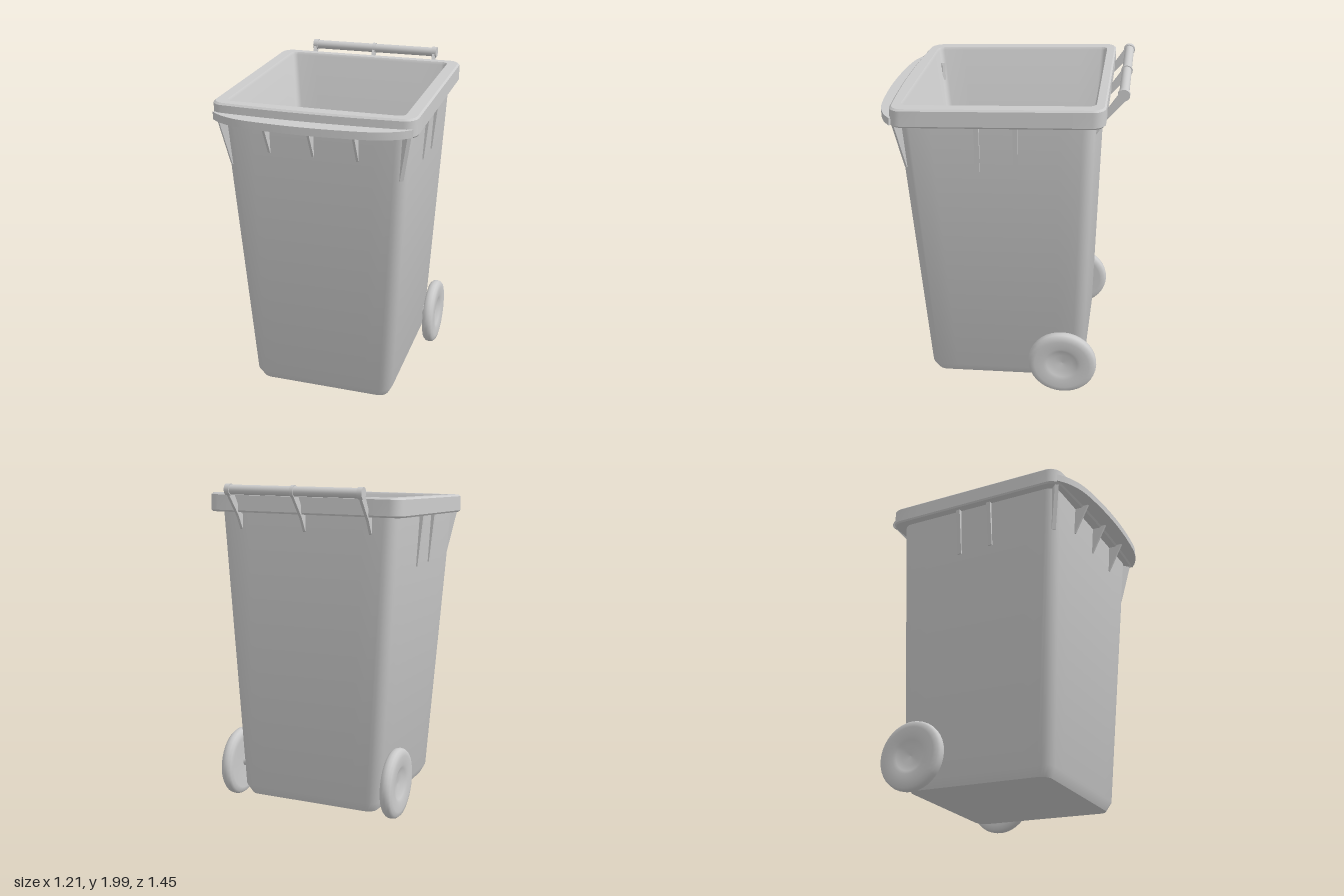
import * as THREE from 'three';
import { toCreasedNormals } from 'three/addons/utils/BufferGeometryUtils.js';

const TILT = 0.048; // rim and base slope down towards the front
const mat = new THREE.MeshStandardMaterial({ color: 0xcccccc });

function add(parent, name, geo, x = 0, y = 0, z = 0) {
  const mesh = new THREE.Mesh(geo, mat);
  mesh.name = name;
  mesh.position.set(x, y, z);
  parent.add(mesh);
  return mesh;
}

// Rounded rectangle in plan; bow curves the front edge outwards
function ring([hx, zb, zf, r, h, bow = 0]) {
  const pts = [], ARC = 6, SIDE = 8;
  const corners = [[hx - r, zf - r], [r - hx, zf - r], [r - hx, zb + r], [hx - r, zb + r]];
  corners.forEach(([cx, cz], k) => {
    for (let i = 0; i <= ARC; i++) {
      const a = (k + i / ARC) * Math.PI / 2;
      pts.push([cx + r * Math.cos(a), cz + r * Math.sin(a)]);
    }
    const last = pts[pts.length - 1], a = (k + 1) * Math.PI / 2;
    const [nx, nz] = corners[(k + 1) % 4];
    const next = [nx + r * Math.cos(a), nz + r * Math.sin(a)];
    for (let i = 1; i < SIDE; i++) {
      const t = i / SIDE;
      pts.push([last[0] + (next[0] - last[0]) * t, last[1] + (next[1] - last[1]) * t]);
    }
  });
  return pts.map(([x, z]) => {
    if (z > 0) z += bow * (1 - (x / hx) ** 2) * Math.min(1, z / zf);
    return [x, h - TILT * z, z];
  });
}

// Skin through a series of rings, closed at both ends
function loft(sections) {
  const rings = sections.map(ring), n = rings[0].length;
  const pos = rings.flat(2), idx = [];
  for (let j = 0; j < rings.length - 1; j++) {
    for (let i = 0; i < n; i++) {
      const a = j * n + i, b = j * n + (i + 1) % n;
      idx.push(a, a + n, b, b, a + n, b + n);
    }
  }
  const c = rings.length * n, top = (rings.length - 1) * n;
  for (const s of [sections[0], sections[sections.length - 1]]) {
    const z = (s[1] + s[2]) / 2;
    pos.push(0, s[4] - TILT * z, z);
  }
  for (let i = 0; i < n; i++) {
    const k = (i + 1) % n;
    idx.push(c, i, k, c + 1, top + k, top + i);
  }
  const geo = new THREE.BufferGeometry();
  geo.setAttribute('position', new THREE.Float32BufferAttribute(pos, 3));
  geo.setIndex(idx);
  return toCreasedNormals(geo, 0.6);
}

// Upright plate from [outward distance, height] points, turned about y
function plate(parent, name, points, thick, angle, x = 0, z = 0) {
  const shape = new THREE.Shape(points.map(p => new THREE.Vector2(...p)));
  const geo = new THREE.ExtrudeGeometry(shape, { depth: thick, bevelEnabled: false });
  geo.translate(0, 0, -thick / 2);
  add(parent, name, geo, x, 0, z).rotation.y = angle;
}

export function createModel() {
  const bin = new THREE.Group();
  bin.name = 'wheeledBin';

  // Outer wall, rim and hollow inside: halfX, zBack, zFront, radius, height, bow
  add(bin, 'body', loft([
    [0.42, -0.5, 0.42, 0.06, 0.03],
    [0.45, -0.53, 0.45, 0.07, 0.09],
    [0.553, -0.55, 0.57, 0.07, 1.8],
    [0.6, -0.6, 0.595, 0.07, 1.8, 0.025],
    [0.607, -0.607, 0.605, 0.07, 1.81, 0.025],
    [0.605, -0.605, 0.602, 0.07, 1.9, 0.025],
    [0.595, -0.595, 0.592, 0.065, 1.91, 0.025],
    [0.53, -0.55, 0.55, 0.04, 1.91],
    [0.52, -0.54, 0.54, 0.03, 1.895],
    [0.42, -0.49, 0.37, 0.05, 0.22],
    [0.41, -0.475, 0.33, 0.06, 0.15],
    [0.38, -0.44, 0.27, 0.05, 0.12],
  ]));

  // Curved grip lip along the front of the rim
  const half = [[0.2, 0.715], [0.4, 0.693], [0.52, 0.65], [0.59, 0.6]];
  const curve = new THREE.SplineCurve([
    ...half.map(([x, z]) => new THREE.Vector2(x, z)).reverse(),
    new THREE.Vector2(0, 0.722),
    ...half.map(([x, z]) => new THREE.Vector2(-x, z)),
  ]);
  const lipShape = new THREE.Shape([
    ...curve.getPoints(32), new THREE.Vector2(-0.55, 0.58), new THREE.Vector2(0.55, 0.58),
  ]);
  const lip = new THREE.ExtrudeGeometry(lipShape, { depth: 0.045, bevelEnabled: false });
  lip.rotateX(Math.PI / 2);
  const p = lip.attributes.position;
  for (let i = 0; i < p.count; i++) p.setY(i, p.getY(i) + 1.855 - TILT * p.getZ(i));
  lip.computeVertexNormals();
  add(bin, 'frontLip', toCreasedNormals(lip, 0.6));

  // Stiffening ribs under the rim
  for (const x of [-0.265, 0, 0.265]) {
    plate(bin, 'frontRib', [[0.54, 1.6], [0.563, 1.6], [0.615, 1.7], [0.66, 1.785], [0.54, 1.79]],
      0.014, -Math.PI / 2, x);
  }
  for (const s of [1, -1]) {
    plate(bin, 'cornerRib', [[0.02, 1.5], [0.05, 1.5], [0.125, 1.785], [0.02, 1.79]],
      0.025, s > 0 ? -Math.PI / 4 : -Math.PI * 0.75, s * 0.48, 0.5);
    for (const z of [0.11, -0.11]) {
      plate(bin, 'sideRib', [[0.52, 1.5], [0.543, 1.5], [0.575, 1.805], [0.53, 1.81]],
        0.028, s > 0 ? 0 : Math.PI, 0, z);
    }
  }

  // Rear handle bar with brackets and collars
  const handle = new THREE.Group();
  handle.name = 'handle';
  bin.add(handle);
  const bar = (r, len) => new THREE.CylinderGeometry(r, r, len, 24).rotateZ(Math.PI / 2);
  add(handle, 'handleBar', bar(0.028, 0.83), 0, 1.966, -0.692);
  for (const x of [-0.408, 0, 0.408]) {
    add(handle, 'handleCollar', bar(0.034, x ? 0.03 : 0.02), x, 1.966, -0.692);
    plate(handle, 'handleBracket',
      [[0.54, 1.72], [0.555, 1.73], [0.6, 1.81], [0.705, 1.935], [0.675, 1.985], [0.6, 1.87], [0.54, 1.83]],
      0.016, Math.PI / 2, x);
  }

  // Dished wheels on short axle stubs
  const profile = [[0, -0.03], [0.1, -0.03], [0.17, -0.037], [0.198, -0.032], [0.21, -0.018],
    [0.213, 0], [0.21, 0.018], [0.198, 0.032], [0.17, 0.037], [0.115, 0.034],
    [0.095, 0.026], [0.06, 0.014], [0, 0.008]].map(q => new THREE.Vector2(...q));
  for (const s of [1, -1]) {
    const wheel = add(bin, s > 0 ? 'leftWheel' : 'rightWheel',
      new THREE.LatheGeometry(profile, 36), s * 0.5275, 0.225, -0.405);
    wheel.rotation.z = -s * Math.PI / 2;
    add(bin, 'axleStub', bar(0.03, 0.07), s * 0.475, 0.225, -0.405);
  }

  return bin;
}
